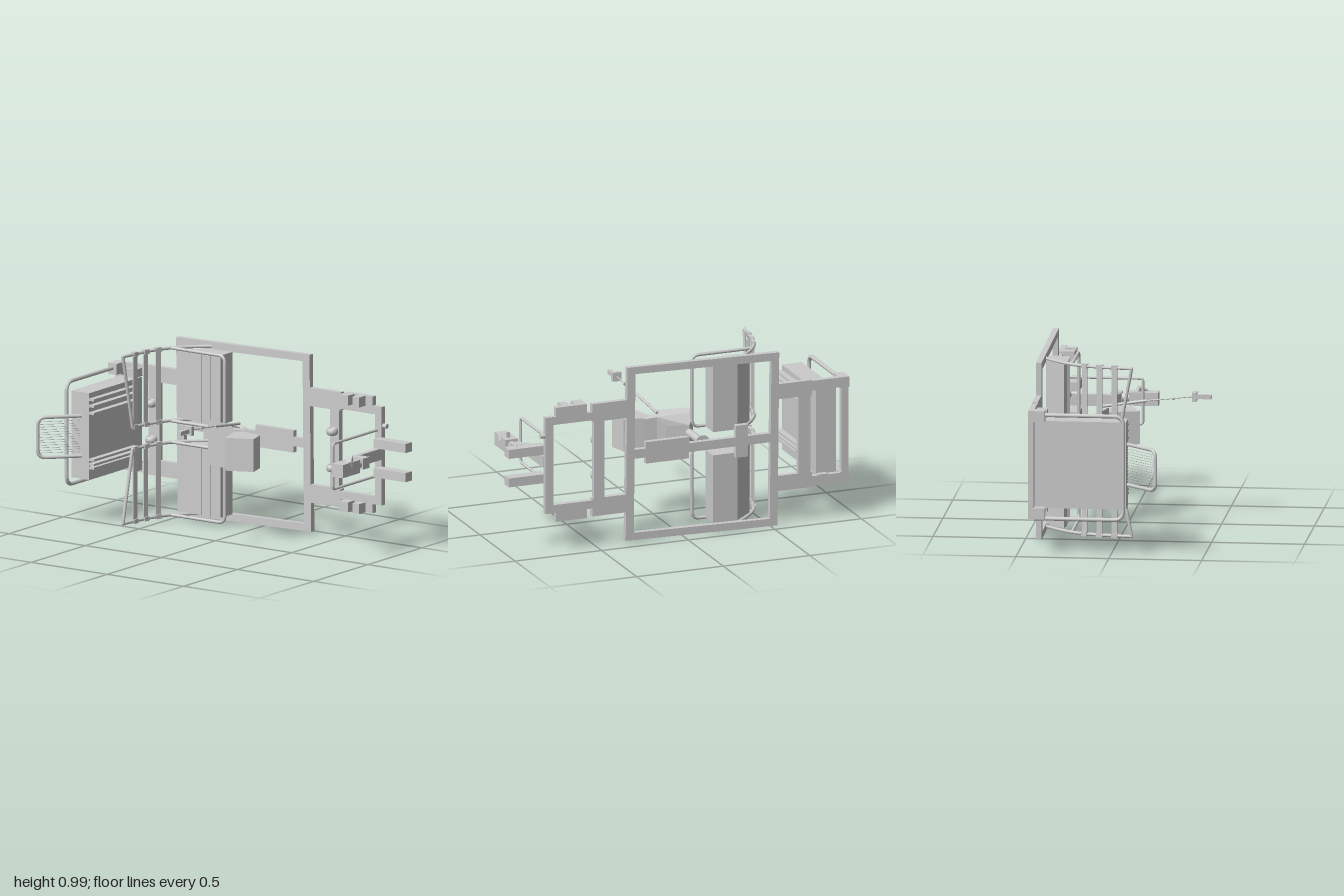
import * as THREE from 'three';
import { ConvexGeometry } from 'three/addons/geometries/ConvexGeometry.js';

const V = (x, y, z) => new THREE.Vector3(x, y, z);
const MID = 0.495; // mirror height of the chassis

export function createModel() {
  const root = new THREE.Group();
  const mat = new THREE.MeshStandardMaterial({ color: 0xcccccc });
  const flat = new THREE.MeshStandardMaterial({ color: 0xcccccc, flatShading: true });

  const add = (name, geo, parent = root, m = mat) => {
    const mesh = new THREE.Mesh(geo, m);
    mesh.name = name;
    parent.add(mesh);
    return mesh;
  };
  // box given by its limits
  const box = (name, x0, x1, y0, y1, z0, z1, parent) => {
    const g = new THREE.BoxGeometry(x1 - x0, y1 - y0, z1 - z0);
    g.translate((x0 + x1) / 2, (y0 + y1) / 2, (z0 + z1) / 2);
    return add(name, g, parent);
  };
  // straight round bar between two points
  const rod = (name, a, b, r0, r1 = r0, parent, sides = 12) => {
    const mesh = add(name, new THREE.CylinderGeometry(r1, r0, a.distanceTo(b), sides), parent);
    mesh.position.copy(a).lerp(b, 0.5);
    mesh.quaternion.setFromUnitVectors(V(0, 1, 0), b.clone().sub(a).normalize());
    return mesh;
  };
  // bent pipe with rounded corners
  const pipe = (name, pts, r, bend, parent) => {
    const path = new THREE.CurvePath();
    let last = pts[0];
    for (let i = 1; i < pts.length - 1; i++) {
      const p = pts[i];
      const a = p.clone().add(pts[i - 1].clone().sub(p).setLength(bend));
      const b = p.clone().add(pts[i + 1].clone().sub(p).setLength(bend));
      path.add(new THREE.LineCurve3(last, a));
      path.add(new THREE.QuadraticBezierCurve3(a, p, b));
      last = b;
    }
    path.add(new THREE.LineCurve3(last, pts[pts.length - 1]));
    return add(name, new THREE.TubeGeometry(path, 80, r, 10), parent);
  };
  // x/z outline extruded from y0 to y1
  const slab = (name, pts, y0, y1, parent) => {
    const s = new THREE.Shape(pts.map(p => new THREE.Vector2(p[0], p[1])));
    const g = new THREE.ExtrudeGeometry(s, { depth: y1 - y0, bevelEnabled: false });
    g.rotateX(Math.PI / 2).translate(0, y1, 0);
    return add(name, g, parent);
  };
  const B = -0.44, F = -0.41; // back and front of the frame plane

  // main frame, a slightly skewed ring
  const ring = new THREE.Shape([[-0.54, 0.003], [0.337, 0.02], [0.326, 0.99], [-0.55, 0.973]].map(p => new THREE.Vector2(...p)));
  ring.holes.push(new THREE.Path([[-0.495, 0.045], [-0.505, 0.93], [0.28, 0.95], [0.29, 0.06]].map(p => new THREE.Vector2(...p))));
  add('mainFrame', new THREE.ExtrudeGeometry(ring, { depth: F - B, bevelEnabled: false }).translate(0, 0, B));
  box('centreBeam', -0.52, 0.3, 0.475, 0.525, B, F);
  box('centrePlate', -0.03, 0.22, 0.44, 0.56, B, F);
  box('crossPlate', -0.37, -0.3, 0.41, 0.59, B, F);

  // side frames, upper and lower halves mirrored
  for (const s of [1, -1]) {
    const bar = (name, x0, x1, a, b, z0 = B, z1 = F) =>
      box(name, x0, x1, MID + (s > 0 ? a : -b), MID + (s > 0 ? b : -a), z0, z1);
    bar('leftRail', 0.3, 0.53, 0.215, 0.315);
    bar('leftRailEnd', 0.53, 0.8, 0.225, 0.27);
    bar('leftRailBlock', 0.56, 0.62, 0.265, 0.32, B, -0.35);
    bar('leftRailBlock', 0.65, 0.695, 0.265, 0.32, B, -0.35);
    bar('leftRailEdge', 0.62, 0.74, 0.265, 0.32);
    bar('rightRail', -0.74, -0.52, 0.215, 0.3);
    bar('rightRailEnd', -0.95, -0.74, 0.24, 0.295);
    bar('rightCorner', -0.955, -0.9, 0.235, 0.295, B, -0.35);
    bar('rightRailBlock', -0.83, -0.775, 0.235, 0.28, B, -0.35);
    bar('supportBeam', 0.79, 1.0, 0.02 + 0.035, 0.105, F, -0.35);
    // hinge eyes on the uprights
    for (const x of [-0.7, 0.487]) {
      const e = add('hingeEye', new THREE.TorusGeometry(0.022, 0.011, 8, 20));
      e.rotation.x = Math.PI / 2;
      e.scale.z = 1.8;
      e.position.set(x, MID + s * 0.1, -0.392);
    }
  }
  box('leftUpright', 0.46, 0.52, 0.27, 0.73, B, F);
  box('leftEndBar', 0.755, 0.8, 0.235, 0.755, B, F);
  box('rightUpright', -0.73, -0.66, 0.27, 0.72, B, F);
  box('rightEndBar', -0.95, -0.91, 0.22, 0.76, B, F);
  rod('framePeg', V(0.8, 0.66, -0.425), V(0.825, 0.66, -0.425), 0.013);

  // cargo box with slide rails
  box('cargoBox', -0.89, -0.775, 0.25, 0.725, F, 0.08);
  for (const y of [0.315, 0.335, 0.36, 0.615, 0.655, 0.69])
    box('slideRail', -0.78, -0.742, y - 0.006, y + 0.006, -0.33, 0.08);
  pipe('boxGuardPipe', [V(-0.928, 0.765, F), V(-0.928, 0.765, 0.07), V(-0.928, 0.2, 0.07), V(-0.928, 0.2, F)], 0.011, 0.05);

  // slanted rack with wires
  pipe('rackPipe', [V(-0.825, 0.595, 0.075), V(-0.99, 0.595, 0.25), V(-0.99, 0.375, 0.25), V(-0.825, 0.375, 0.075)], 0.01, 0.045);
  for (let i = 0; i < 13; i++) {
    const y = 0.4 + i * 0.0142;
    rod('rackWire', V(-0.83, y, 0.075), V(-0.985, y, 0.245), 0.0017, 0.0017, root, 5);
  }

  // two mirrored seats with curved strap backrests
  const curve = new THREE.CatmullRomCurve3([
    [-0.32, -0.41], [-0.4, -0.34], [-0.48, -0.24], [-0.525, -0.12], [-0.545, 0], [-0.555, 0.075],
  ].map(p => V(p[0], 0, p[1])));
  const samples = curve.getPoints(60);
  const sidePipe = (name, y, zEnd, parent) => {
    const pts = samples.filter(p => p.z <= zEnd + 0.004).map(p => V(p.x, y, p.z));
    add(name, new THREE.TubeGeometry(new THREE.CatmullRomCurve3(pts), 40, 0.009, 10), parent);
    return pts[pts.length - 1];
  };
  for (const s of [0, 1]) {
    const seat = new THREE.Group();
    seat.name = s ? 'upperSeat' : 'lowerSeat';
    root.add(seat);
    const Y = y => (s ? 2 * MID - y : y);
    const lo = Math.min(Y(0.05), Y(0.43)), hi = Math.max(Y(0.05), Y(0.43));
    slab('seatCushion', [[-0.18, F], [-0.18, -0.298], [-0.24, -0.292], [-0.37, -0.292], [-0.435, -0.302], [-0.32, F]], lo, hi, seat);
    // seams along the cushion
    for (const x of [-0.37, -0.3, -0.24])
      box('cushionSeam', x - 0.003, x + 0.003, lo, hi, -0.3, -0.289, seat);
    const a = sidePipe('outerSidePipe', Y(0.037), 0.075, seat);
    const b = sidePipe('innerSidePipe', Y(0.435), 0, seat);
    rod('backrestRim', a, b, 0.009, 0.009, seat);
    for (const p of [a, b]) add('rimJoint', new THREE.SphereGeometry(0.0095, 10, 8), seat).position.copy(p);
    // straps wrapped round the side pipes
    for (const z of [-0.02, -0.103, -0.185]) {
      const i = samples.findIndex(p => p.z >= z);
      const d = samples[i + 1].clone().sub(samples[i - 1]);
      const strap = new THREE.Group();
      strap.name = 'strap';
      strap.position.set(samples[i].x, Y(0.236), samples[i].z);
      strap.rotation.y = Math.atan2(d.x, d.z);
      seat.add(strap);
      add('strapBand', new THREE.BoxGeometry(0.008, 0.4, 0.03), strap);
      for (const e of [-0.199, 0.199])
        add('strapLoop', new THREE.BoxGeometry(0.024, 0.024, 0.034), strap).position.y = e;
    }
    pipe('seatGuardPipe', [V(-0.47, Y(0.037), -0.255), V(-0.12, Y(0.037), -0.255), V(-0.12, Y(0.437), -0.255), V(-0.47, Y(0.437), -0.255)], 0.009, 0.04, seat);
  }

  // pedestal seat
  rod('pedestalBase', V(-0.12, 0.508, F), V(-0.12, 0.508, -0.375), 0.042, 0.025, root, 16);
  rod('pedestalPost', V(-0.12, 0.508, F), V(-0.12, 0.508, -0.2), 0.022, 0.022, root, 16);
  const bowl = [];
  for (const [x, z, w] of [[-0.12, -0.22, 0.05], [-0.155, -0.185, 0.11], [-0.15, -0.142, 0.125],
    [0.03, -0.108, 0.122], [0.045, -0.165, 0.1], [0, -0.185, 0.05]])
    for (const s of [1, -1]) bowl.push(V(x, 0.5 + s * w, z));
  add('pedestalSeat', new ConvexGeometry(bowl), root, flat);
  const spout = [];
  for (const [x, z, w] of [[0.02, -0.165, 0.1], [0.02, -0.11, 0.11], [0.115, -0.15, 0.09], [0.05, -0.11, 0.1]])
    for (const s of [1, -1]) spout.push(V(x, 0.5 + s * w, z));
  add('pedestalSeatEdge', new ConvexGeometry(spout), root, flat);
  slab('consoleBlock', [[0.05, -0.11], [0.07, -0.14], [0.215, -0.108], [0.243, -0.01], [0.1, 0.05]], 0.41, 0.59);

  // long control lever
  const l0 = V(0.043, 0.622, -0.16), l1 = V(0.06, 0.656, 0.09), l2 = V(0.073, 0.682, 0.34);
  rod('leverSleeve', l0, l1, 0.008);
  rod('leverRod', l1, l2, 0.0035);
  rod('leverCollar', V(0.067, 0.671, 0.23), V(0.067, 0.672, 0.238), 0.011);
  box('leverGuard', 0.049, 0.098, 0.657, 0.706, 0.335, 0.36);
  box('leverGrip', 0.062, 0.086, 0.67, 0.693, 0.36, 0.44);

  // crank unit and guard bar on the left side
  pipe('leftGuardPipe', [V(0.767, 0.635, F), V(0.767, 0.635, -0.005), V(0.767, 0.385, -0.005), V(0.767, 0.385, F)], 0.008, 0.015);
  slab('crankArm', [[0.77, F], [0.803, F], [0.803, -0.19], [0.825, -0.165], [0.825, -0.125], [0.775, -0.15]], 0.478, 0.54);
  box('crankBlock', 0.82, 0.88, 0.485, 0.545, -0.185, -0.125);
  rod('crankShaft', V(0.85, 0.513, -0.13), V(0.85, 0.513, -0.08), 0.024, 0.024, root, 16);
  box('crankHousing', 0.815, 0.887, 0.475, 0.547, -0.085, 0.072);
  const knob = box('crankHandle', -0.015, 0.015, -0.018, 0.018, -0.03, 0.03);
  knob.position.set(0.868, 0.545, -0.02);
  knob.rotation.set(0.45, 0.5, 0);

  return root;
}
